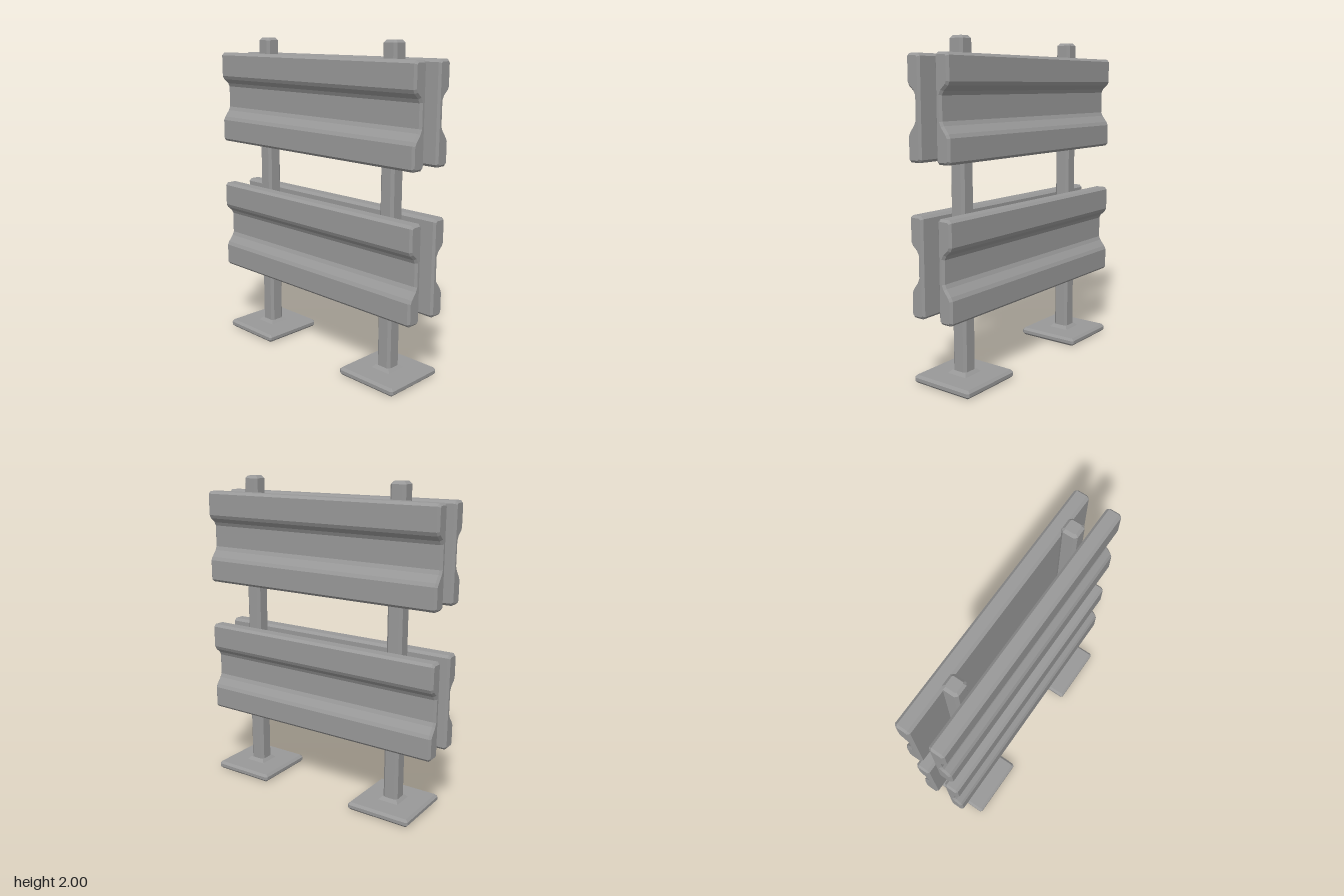
import * as THREE from 'three';

const grey = new THREE.MeshStandardMaterial({ color: 0x999999 });
grey.name = 'grey metal';

// Extrusion of given total length, with a single flat chamfer kept inside the outline
function chamferedExtrude(points, length, chamfer) {
  const shape = new THREE.Shape(points.map(([x, y]) => new THREE.Vector2(x, y)));
  return new THREE.ExtrudeGeometry(shape, {
    depth: length - 2 * chamfer,
    bevelThickness: chamfer, bevelSize: chamfer, bevelOffset: -chamfer, bevelSegments: 1,
  }).translate(0, 0, chamfer);
}

// Square with cut corners
function cutSquare(half, cut) {
  const h = half, i = half - cut;
  return [[i, -h], [h, -i], [h, i], [i, h], [-i, h], [-h, i], [-h, -i], [-i, -h]];
}

// Upright block with all edges chamfered
function block(half, cut, y0, y1, chamfer) {
  return chamferedExtrude(cutSquare(half, cut), y1 - y0, chamfer)
    .rotateX(-Math.PI / 2).translate(0, y0, 0);
}

function add(parent, geometry, name) {
  const mesh = new THREE.Mesh(geometry, grey);
  mesh.name = name;
  parent.add(mesh);
  return mesh;
}

export function createModel() {
  const model = new THREE.Group();
  model.name = 'doubleGuardRail';

  // Posts on foot plates, with a flared collar where they meet
  const plateGeo = block(0.21, 0.012, 0, 0.05, 0.015);
  const postGeo = block(0.05, 0.016, 0.04, 2, 0.016);
  const collarGeo = new THREE.CylinderGeometry(0.05 * Math.SQRT2, 0.068 * Math.SQRT2, 0.02, 4).toNonIndexed();
  collarGeo.computeVertexNormals();
  collarGeo.rotateY(Math.PI / 4).translate(0, 0.06, 0);
  for (const [name, x] of [['rightPost', -0.51], ['leftPost', 0.551]]) {
    const post = new THREE.Group();
    post.name = name;
    post.position.x = x;
    add(post, plateGeo, 'footPlate');
    add(post, collarGeo, 'collar');
    add(post, postGeo, 'upright');
    model.add(post);
  }

  // Rail cross-section as [depth outwards, height above rail bottom]
  const profile = [
    [0.057, 0.016], [0.073, 0], [0.136, 0], [0.152, 0.016],
    [0.152, 0.143], [0.141, 0.165], [0.109, 0.206], [0.098, 0.23],
    [0.098, 0.366], [0.109, 0.388], [0.141, 0.416], [0.152, 0.438],
    [0.152, 0.574], [0.136, 0.59], [0.073, 0.59], [0.057, 0.574],
  ].map(([z, y]) => [-z, y]);
  const width = 1.648;
  const railGeo = chamferedExtrude(profile, width, 0.013)
    .translate(0, 0, -width / 2).rotateY(Math.PI / 2);

  // Two rails on the front and two on the back
  for (const [level, y] of [['lower', 0.427], ['upper', 1.31]]) {
    for (const [side, turn] of [['Front', 0], ['Back', Math.PI]]) {
      const rail = add(model, railGeo, `${level}${side}Rail`);
      rail.position.y = y;
      rail.rotation.y = turn;
    }
  }
  return model;
}
